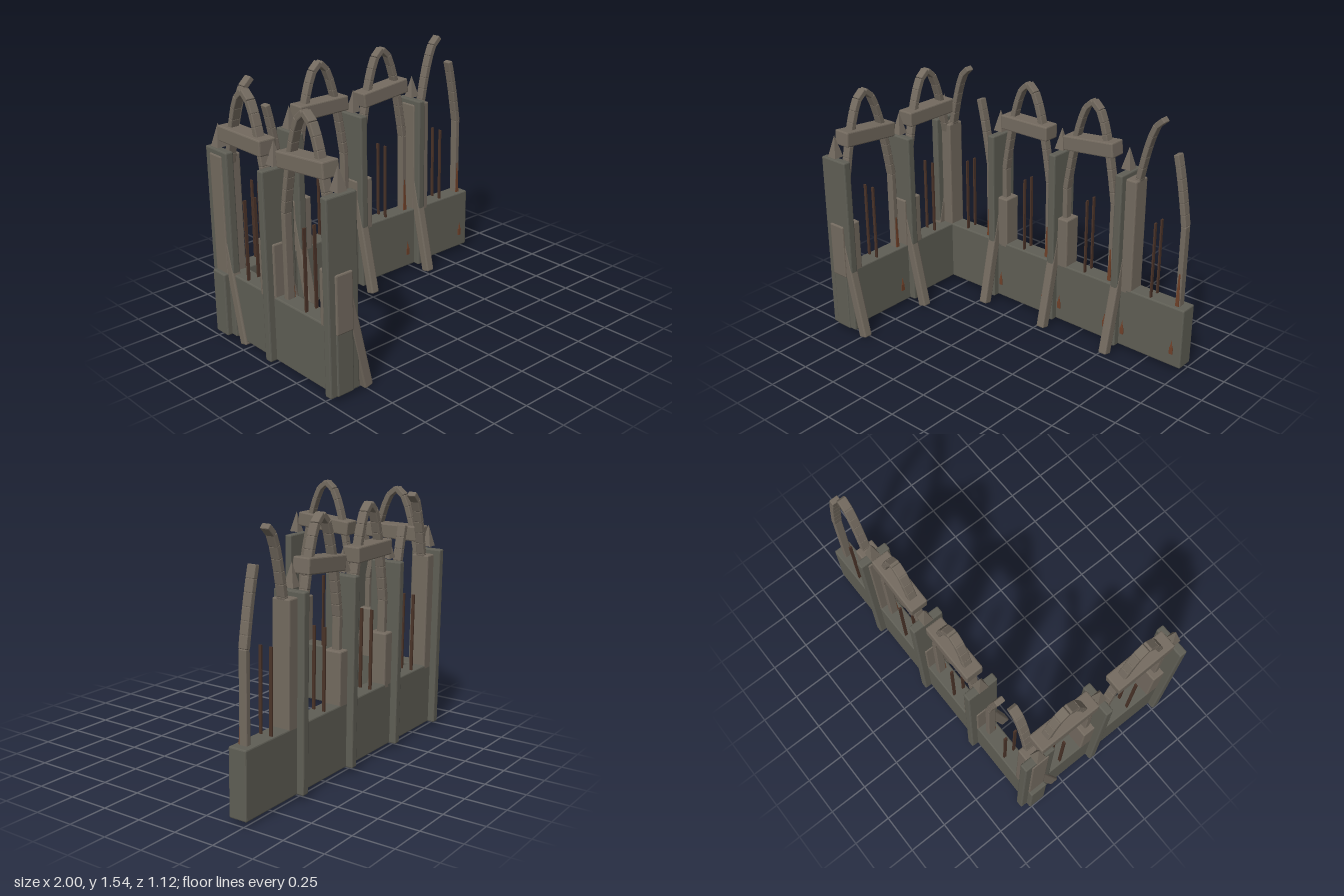
import * as THREE from 'three';
import { RoundedBoxGeometry } from 'three/addons/geometries/RoundedBoxGeometry.js';

const mat = (color) => new THREE.MeshStandardMaterial({ color, flatShading: true });
const dark = mat(0x5f5e55), stone = mat(0x736a5f), rust = mat(0x6e4029), iron = mat(0x4a3328);
const WALL_TOP = 0.43, SPRING = 0.94, APEX = 1.535;

function add(group, name, geometry, material, x, y, z, rx = 0, rz = 0) {
  const mesh = new THREE.Mesh(geometry, material);
  mesh.name = name;
  mesh.position.set(x, y, z);
  mesh.rotation.set(rx, 0, rz);
  group.add(mesh);
  return mesh;
}
// Box with chamfered edges
const block = (w, h, d, r = 0.008) => new RoundedBoxGeometry(w, h, d, 1, r);

// Four-sided spike with its flat faces to the front and sides
const spike = (half, h) => new THREE.ConeGeometry(half * Math.SQRT2, h, 4).rotateY(Math.PI / 4);

// Half of the pointed arch, stacked from short stones
function rib(group, side, half, count) {
  const curve = new THREE.QuadraticBezierCurve(
    new THREE.Vector2(side * half, SPRING),
    new THREE.Vector2(side * half / 2, APEX),
    new THREE.Vector2(0, APEX));
  const pts = curve.getSpacedPoints(9);
  for (let i = 0; i < count; i++) {
    const a = pts[i], b = pts[i + 1];
    const angle = Math.atan2(b.y - a.y, b.x - a.x) - Math.PI / 2;
    add(group, 'archStone', block(0.034, a.distanceTo(b) * 1.04, 0.054, 0.005), stone,
      (a.x + b.x) / 2, (a.y + b.y) / 2, 0, 0, angle);
  }
}

// Buttress: upright slab, leaning strut on the inner side, spike on top
function buttress() {
  const g = new THREE.Group();
  g.name = 'buttress';
  add(g, 'buttressPillar', block(0.05, 1.135, 0.2), dark, 0, 0.6025, 0);
  add(g, 'buttressStrut', block(0.056, 0.72, 0.058), stone, 0, 0.362, 0.088, -0.22);
  add(g, 'buttressSpike', spike(0.032, 0.135), stone, 0, 1.252, 0);
  return g;
}

// One window bay; tilt is the lintel angle, null for a broken arch
function bay(pitch, jambTop, tilt) {
  const g = new THREE.Group();
  g.name = 'windowBay';
  const half = pitch * 0.364, pillarX = -pitch / 2 + 0.018;
  const support = buttress();
  support.position.x = pillarX;
  g.add(support);

  const jambHeight = jambTop - 0.4;
  add(g, 'jamb', block(pitch * 0.265, jambHeight, 0.114), stone, pillarX + 0.033, 0.4 + jambHeight / 2, 0);

  for (const s of [-1, 1]) {
    add(g, 'windowPost', block(0.034, SPRING - 0.4, 0.05, 0.005), stone, s * half, (SPRING + 0.4) / 2, 0);
    rib(g, s, half, tilt === null && s > 0 ? 6 : 9);
    // Rust streaks on the post and on the wall below
    add(g, 'postRust', spike(0.012, 0.36), rust, s * half, 0.61, 0.02);
    add(g, 'wallRust', new THREE.BoxGeometry(0.024, 0.045, 0.014), rust, s * half, 0.14, 0.056);
    add(g, 'wallRustTip', spike(0.008, 0.055), rust, s * half, 0.188, 0.056);
    add(g, 'windowBar', new THREE.BoxGeometry(0.01, 0.515, 0.018), iron, 0, 0.6575, s * 0.034);
  }
  if (tilt !== null) add(g, 'lintel', block(pitch * 0.74, 0.092, 0.11), stone, 0, 1.265, 0, 0, tilt);
  return g;
}

// Low wall with a row of bays above it
function wall(name, start, end, firstBay, pitch, bays) {
  const g = new THREE.Group();
  g.name = name;
  add(g, 'lowWall', block(end - start, WALL_TOP - 0.035, 0.114), dark,
    (start + end) / 2, (WALL_TOP + 0.035) / 2, 0);
  bays.forEach(([jambTop, tilt], i) => {
    const b = bay(pitch, jambTop, tilt);
    b.position.x = firstBay + i * pitch;
    g.add(b);
  });
  return g;
}

export function createModel() {
  const model = new THREE.Group();
  model.name = 'ruinedArcade';

  const back = wall('backWall', -1, 1, -0.715, 0.49,
    [[1.14, null], [0.745, 0], [0.745, 0.1], [1.14, null]]);
  back.position.z = -0.46;

  const side = wall('sideWall', -0.555, 0.5, -0.276, 0.529, [[0.745, -0.09], [0.745, 0]]);
  side.rotation.y = Math.PI / 2;
  side.position.x = -0.9;

  model.add(back, side);
  return model;
}
